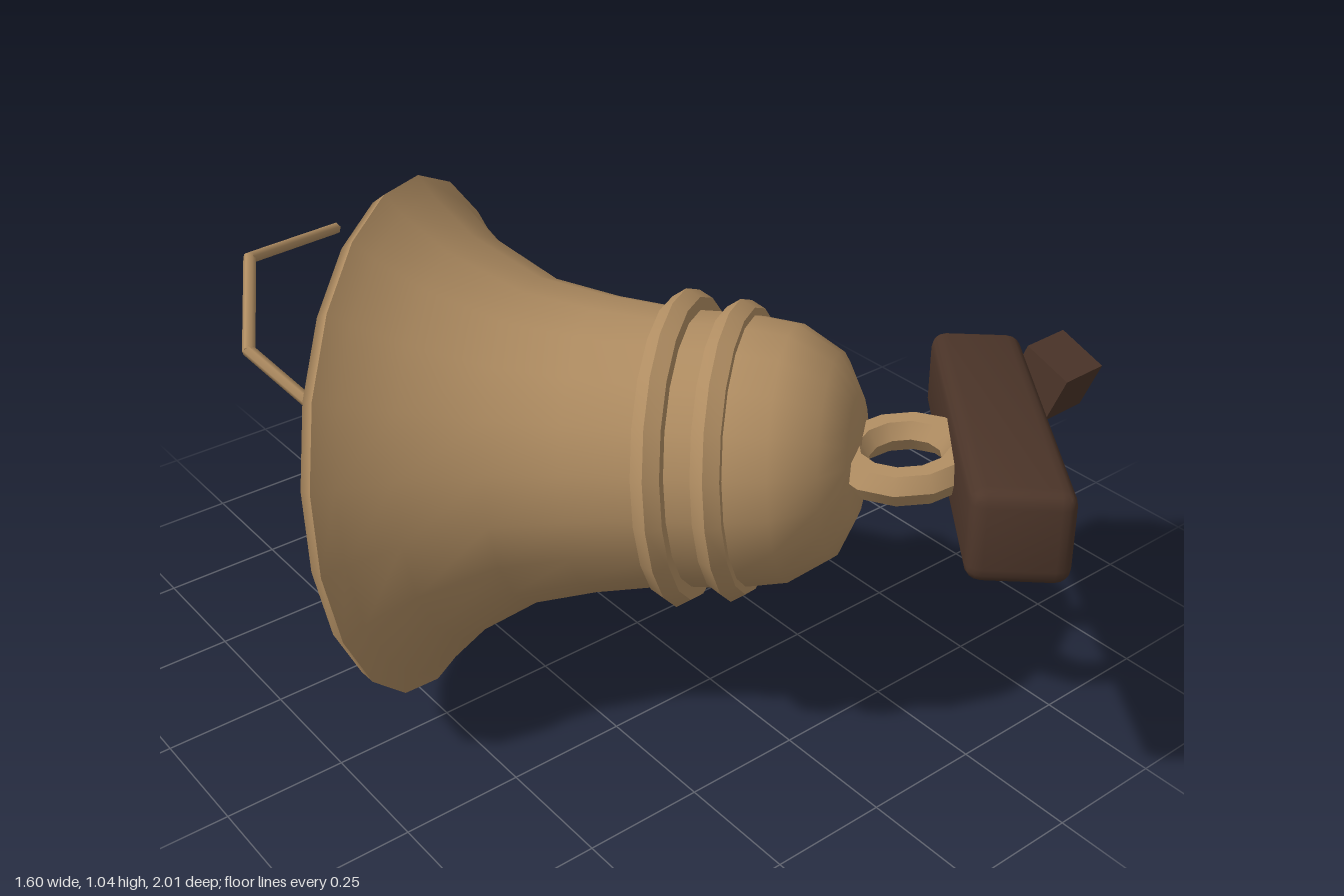
import * as THREE from 'three';
import { toCreasedNormals } from 'three/addons/utils/BufferGeometryUtils.js';
import { RoundedBoxGeometry } from 'three/addons/geometries/RoundedBoxGeometry.js';

const material = (name, color) => {
  const m = new THREE.MeshStandardMaterial({ color });
  m.name = name;
  return m;
};
const V = (x, y, z) => new THREE.Vector3(x, y, z);

export function createModel() {
  const bronze = material('bronze', 0xb08d62);
  const wood = material('dark wood', 0x4c3529);
  const iron = material('blue grey iron', 0x3a4a4e);
  const model = new THREE.Group();
  model.name = 'bell';

  const add = (parent, name, geometry, mat) => {
    const mesh = new THREE.Mesh(geometry, mat);
    mesh.name = name;
    parent.add(mesh);
    return mesh;
  };
  const lathe = (pts) => new THREE.LatheGeometry(pts.map(([r, y]) => new THREE.Vector2(r, y)), 20);

  // Bell lying on its side: local y runs from the mouth to the crown
  const bell = new THREE.Group();
  bell.name = 'bellBody';
  const axis = V(0.585, 0.11, 0.803).normalize();
  const side = V(0.809, 0, -0.588).normalize();
  bell.quaternion.setFromRotationMatrix(
    new THREE.Matrix4().makeBasis(side, axis, side.clone().cross(axis)));
  bell.position.set(-0.38, 0.525, -0.23);
  model.add(bell);

  add(bell, 'outerShell', lathe([
    [0.525, 0.015], [0.485, 0.045], [0.408, 0.125], [0.327, 0.265], [0.295, 0.4], [0.272, 0.55],
    [0.268, 0.67], [0.25, 0.78], [0.198, 0.862], [0.12, 0.9], [0, 0.91],
  ]), bronze);
  add(bell, 'lip', lathe([[0.42, 0.012], [0.508, -0.012], [0.525, 0.015]]), bronze);
  add(bell, 'innerShell', lathe([
    [0.17, 0.8], [0.22, 0.7], [0.245, 0.5], [0.29, 0.265], [0.36, 0.125], [0.42, 0.012],
  ]), bronze);
  add(bell, 'innerCrown', lathe([[0, 0.8], [0.17, 0.8]]), bronze);

  // Two raised bands around the shoulder
  for (const [radius, y] of [[0.28, 0.565], [0.262, 0.672]]) {
    const band = add(bell, 'band',
      toCreasedNormals(new THREE.TorusGeometry(radius, 0.032, 6, 20), 0.7), bronze);
    band.rotation.x = Math.PI / 2;
    band.position.y = y;
  }

  // Hanging ring on the crown
  const ring = add(bell, 'hangingRing',
    toCreasedNormals(new THREE.TorusGeometry(0.105, 0.036, 6, 12), 0.7), bronze);
  ring.position.y = 0.99;

  // Clapper
  add(bell, 'clapperRod', new THREE.CylinderGeometry(0.02, 0.02, 0.94, 8), iron).position.y = 0.335;
  add(bell, 'clapperBall', new THREE.SphereGeometry(0.08, 12, 8), iron).position.y = -0.136;

  // Pull cord, bent twice
  const cord = [V(-0.475, 0.49, -0.36), V(-0.557, 0.61, -0.62), V(-0.432, 0.71, -0.83), V(-0.13, 0.635, -0.995)];
  for (let i = 0; i < 3; i++) {
    const dir = cord[i + 1].clone().sub(cord[i]);
    const piece = add(model, 'cord',
      new THREE.CylinderGeometry(0.014, 0.014, dir.length() + 0.008, 6), bronze);
    piece.position.copy(cord[i]).addScaledVector(dir, 0.5);
    piece.quaternion.setFromUnitVectors(V(0, 1, 0), dir.normalize());
  }

  // Wooden headstock with softened edges
  const beam = add(model, 'headstock',
    toCreasedNormals(new RoundedBoxGeometry(0.85, 0.175, 0.185, 2, 0.03), 0.5), wood);
  const long = V(0.56, -0.13, -0.62).normalize();
  const out = long.clone().cross(V(0, 1, 0)).normalize();
  beam.quaternion.setFromRotationMatrix(
    new THREE.Matrix4().makeBasis(long, out.clone().cross(long), out));
  beam.position.set(0.375, 0.626, 0.63);

  // Small block at the end of the headstock
  const block = add(model, 'endBlock', new THREE.BoxGeometry(0.115, 0.115, 0.115), wood);
  block.rotation.set(0.36, 0.03, -0.03);
  block.position.set(0.738, 0.585, 0.47);

  return model;
}
